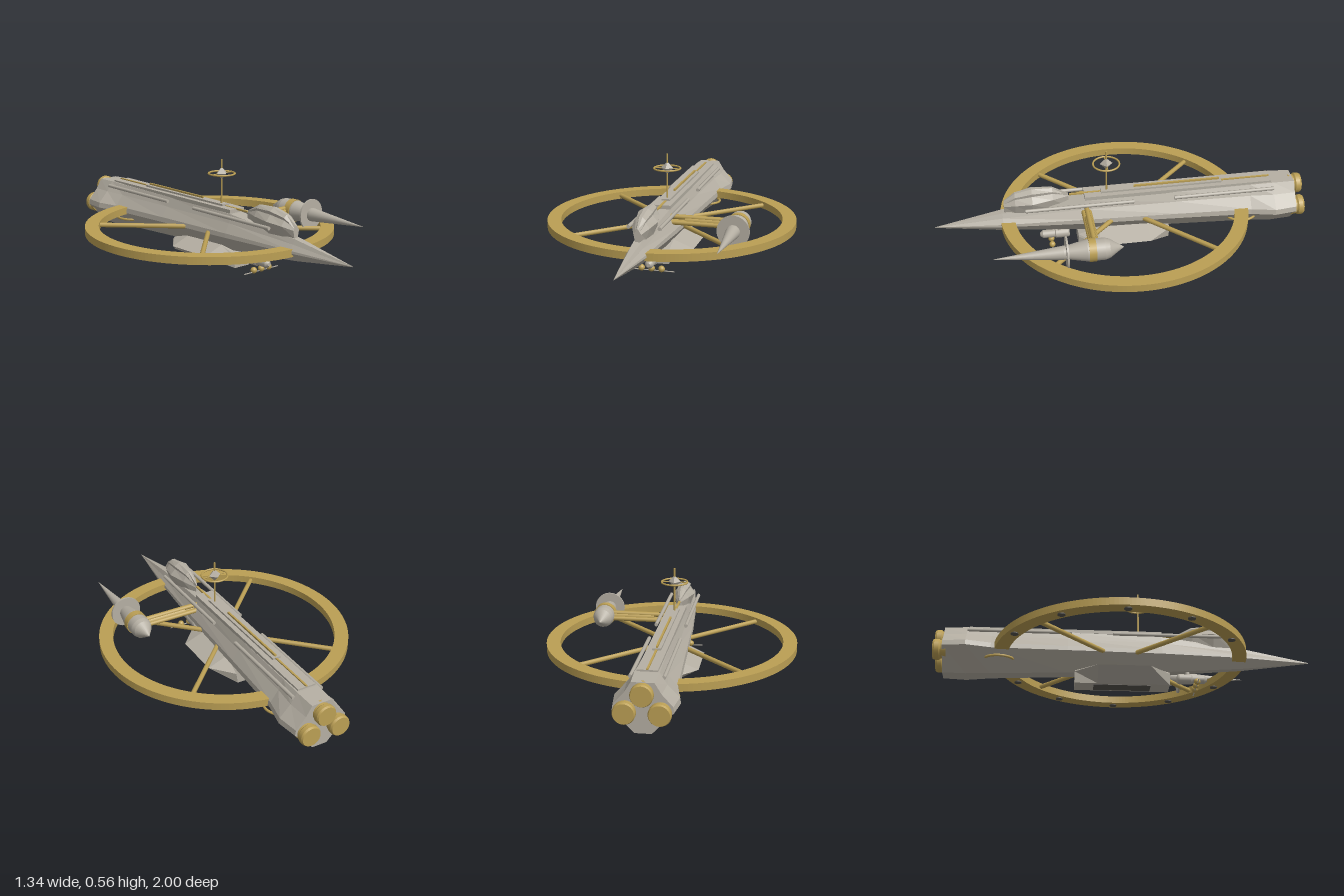
import * as THREE from 'three';

const mat = (name, color, flatShading = false, side = THREE.FrontSide) =>
  new THREE.MeshStandardMaterial({ name, color, flatShading, side });

// Skin closed cross-sections (counter-clockwise seen from +z), listed front to back
function loft(sections) {
  const n = sections[0].length, pos = [], idx = [];
  sections.forEach(s => s.forEach(p => pos.push(...p)));
  for (let i = 0; i < sections.length - 1; i++) {
    for (let j = 0; j < n; j++) {
      const a = i * n + j, b = i * n + (j + 1) % n, c = a + n, d = b + n;
      idx.push(a, c, b, b, c, d);
    }
  }
  [0, sections.length - 1].forEach(k => {
    const centre = pos.length / 3;
    const ys = sections[k].map(p => p[1]);
    pos.push(0, (Math.min(...ys) + Math.max(...ys)) / 2, sections[k][0][2]);
    for (let j = 0; j < n; j++) {
      const a = k * n + j, b = k * n + (j + 1) % n;
      idx.push(centre, ...(k ? [b, a] : [a, b]));
    }
  });
  const g = new THREE.BufferGeometry();
  g.setAttribute('position', new THREE.Float32BufferAttribute(pos, 3));
  g.setIndex(idx);
  const flat = g.toNonIndexed();
  flat.computeVertexNormals();
  return flat;
}

// Mirror a right-hand half outline (bottom to top) into a full cross-section
const mirrored = (half, z) => [
  ...half.map(([x, y]) => [x, y, z]),
  ...half.slice().reverse().map(([x, y]) => [-x, y, z]),
];

export function createModel() {
  const root = new THREE.Group();
  root.name = 'spaceship';
  const grey = mat('hullGrey', 0xb5afa3);
  const gold = mat('brassGold', 0xbb9f54);
  const dark = mat('darkPanel', 0x56534d);

  const add = (name, geo, m, x = 0, y = 0, z = 0) => {
    const mesh = new THREE.Mesh(geo, m);
    mesh.name = name;
    mesh.position.set(x, y, z);
    root.add(mesh);
    return mesh;
  };
  const box = (name, m, w, h, d, x, y, z) => add(name, new THREE.BoxGeometry(w, h, d), m, x, y, z);
  // Solid of revolution along z from [radius, z] points, rear to front
  const turned = (name, pts, m, x, y, sides = 24) => {
    const group = new THREE.Group();
    group.name = name;
    for (let i = 0; i < pts.length - 1; i++) {
      const [r0, z0] = pts[i], [r1, z1] = pts[i + 1];
      const len = Math.max(z1 - z0, 0.0005);
      const g = new THREE.CylinderGeometry(r1, r0, len, sides).rotateX(Math.PI / 2);
      const mesh = new THREE.Mesh(g, m);
      mesh.name = name + 'Section';
      mesh.position.set(x, y, (z0 + z1) / 2);
      group.add(mesh);
    }
    root.add(group);
  };
  // Straight rod between two points
  const rod = (name, a, b, r, m, sides = 10) => {
    const p = new THREE.Vector3(...a), q = new THREE.Vector3(...b);
    const mesh = add(name, new THREE.CylinderGeometry(r, r, p.distanceTo(q), sides), m);
    mesh.position.copy(p).lerp(q, 0.5);
    mesh.quaternion.setFromUnitVectors(new THREE.Vector3(0, 1, 0), q.sub(p).normalize());
  };

  // Main hull: z, half width, deck half width, deck y, widest y, keel y
  const hull = [
    [1.0, 0.001, 0.0005, 0.172, 0.17, 0.168],
    [0.64, 0.053, 0.02, 0.235, 0.168, 0.122],
    [0.2, 0.088, 0.042, 0.283, 0.165, 0.085],
    [-0.3, 0.11, 0.05, 0.292, 0.16, 0.066],
    [-0.7, 0.13, 0.055, 0.296, 0.155, 0.05],
    [-0.83, 0.16, 0.06, 0.3, 0.155, 0.041],
    [-0.95, 0.145, 0.055, 0.296, 0.155, 0.045],
  ].map(([z, w, t, yt, ym, yb]) => mirrored([
    [w * 0.28, yb], [w, ym], [w * 0.97, ym + (yt - ym) * 0.2],
    [t + (w - t) * 0.36, ym + (yt - ym) * 0.62], [t, yt],
  ], z));
  add('hull', loft(hull), grey);

  // Faceted bridge on the forward deck
  const bridge = [
    [0.63, 0.02, 0.008, 0.275, 0.3],
    [0.57, 0.045, 0.016, 0.29, 0.345],
    [0.48, 0.062, 0.02, 0.3, 0.365],
    [0.37, 0.04, 0.014, 0.305, 0.36],
    [0.285, 0.006, 0.003, 0.3, 0.315],
  ].map(([z, w, t, ym, yt]) => mirrored([
    [w * 0.6, 0.235], [w, ym], [w * 0.55, (ym + yt) / 2], [w * 0.6, yt - 0.015], [t * 0.5, yt],
  ], z));
  add('bridge', loft(bridge), grey);

  // Belly pod with a dark bay panel
  const pod = [[0.24, 0.06, 0.072], [0.13, 0.16, 0.105], [-0.14, 0.16, 0.105], [-0.26, 0.06, 0.072]]
    .map(([z, w, yt]) => mirrored([[0.05, 0.002], [w, 0.062], [0.05, yt]], z));
  add('bellyPod', loft(pod), grey);
  box('bellyBay', dark, 0.075, 0.004, 0.3, 0, 0.002, -0.01);

  // Dorsal spine: stepped deck plates and brass ridge
  box('deckPlate', grey, 0.1, 0.02, 1.02, 0, 0.298, -0.31);
  box('spinePlate', grey, 0.045, 0.014, 0.66, 0, 0.311, -0.22);
  box('spineRidge', gold, 0.01, 0.012, 0.47, 0, 0.322, -0.305);
  box('rearRidge', gold, 0.01, 0.008, 0.28, 0, 0.31, -0.68);
  box('frontRidge', gold, 0.012, 0.008, 0.26, 0, 0.306, 0.15);

  for (const s of [-1, 1]) {
    // Deck rails
    rod('frontRail', [s * 0.08, 0.276, 0.52], [s * 0.08, 0.276, -0.06], 0.01, grey, 8);
    rod('rearRail', [s * 0.08, 0.276, -0.28], [s * 0.08, 0.276, -0.83], 0.01, grey, 8);
    // Brass handle loop under the rear flank
    add('flankLoop', new THREE.TorusGeometry(0.09, 0.007, 8, 36).rotateX(Math.PI / 2), gold,
      s * 0.035, 0.115, -0.66);
  }

  // Three engine nozzles
  [[-0.083, 0.156], [0.083, 0.156], [0, 0.246]].forEach(([x, y]) =>
    turned('engine', [[0.05, -1.0], [0.055, -0.99], [0.055, -0.968], [0.048, -0.96], [0.052, -0.93]], gold, x, y));

  // Great ring, open where the stern passes through
  const cz = -0.02, gap = 0.17;
  const shape = new THREE.Shape();
  const start = Math.PI / 2 + gap, end = Math.PI / 2 - gap + Math.PI * 2;
  shape.absarc(0, 0, 0.672, start, end, false);
  shape.absarc(0, 0, 0.598, end, start, true);
  const ringGeo = new THREE.ExtrudeGeometry(shape, { depth: 0.04, bevelEnabled: false, curveSegments: 96 });
  add('ring', ringGeo.rotateX(-Math.PI / 2), gold, 0, 0.15, cz);

  // Studs beneath the ring
  for (let i = 0; i < 12; i++) {
    const a = i * Math.PI / 6;
    if (i === 9) continue;
    add('ringStud', new THREE.CylinderGeometry(0.02, 0.02, 0.006, 16), dark,
      0.635 * Math.cos(a), 0.148, cz + 0.635 * Math.sin(a));
  }

  // Diagonal spokes
  for (const sx of [-1, 1]) for (const sz of [-1, 1]) {
    rod('spoke', [sx * 0.06, 0.168, cz + sz * 0.06], [sx * 0.43, 0.168, cz + sz * 0.43], 0.013, gold, 8);
  }

  // Side nacelle on its brass strut
  const nx = 0.412, ny = 0.237;
  turned('nacelle', [[0.001, 0.05], [0.05, 0.125], [0.057, 0.15], [0.057, 0.24], [0.036, 0.34], [0.036, 0.36], [0.001, 0.71]], grey, nx, ny);
  turned('nacelleBand', [[0.061, 0.195], [0.061, 0.232]], gold, nx, ny);
  turned('nacelleDisc', [[0.084, 0.337], [0.084, 0.347]], grey, nx, ny, 40);
  [[0.018, 0], [-0.009, 0.015], [-0.009, -0.015]].forEach(([dy, dz]) =>
    rod('strut', [0.05, ny + dy - 0.004, 0.195 + dz], [0.38, ny + dy - 0.004, 0.195 + dz], 0.013, gold, 10));
  rod('strutCore', [0.13, ny - 0.004, 0.195], [0.37, ny - 0.004, 0.195], 0.021, gold, 8);

  // Mast with crystal and halo
  rod('mast', [0, 0.28, 0.078], [0, 0.555, 0.078], 0.005, gold, 8);
  add('mastCrystal', new THREE.OctahedronGeometry(0.034), grey, 0, 0.48, 0.078);
  add('mastHalo', new THREE.TorusGeometry(0.07, 0.005, 8, 40).rotateX(Math.PI / 2), gold, 0, 0.478, 0.078);
  rod('haloBar', [-0.07, 0.478, 0.078], [0.07, 0.478, 0.078], 0.003, gold, 6);

  // Chin sensor: barrel, cross rod and brass bulbs
  turned('sensorBarrel', [[0.022, 0.285], [0.027, 0.295], [0.027, 0.36], [0.022, 0.365], [0.022, 0.43], [0.01, 0.445]], grey, 0, 0.058, 20);
  rod('sensorMount', [0, 0.06, 0.34], [0, 0.11, 0.34], 0.012, grey);
  rod('sensorCrossRod', [-0.12, 0.014, 0.385], [0.12, 0.014, 0.385], 0.003, grey, 6);
  for (const x of [-0.053, 0, 0.053])
    add('sensorBulb', new THREE.SphereGeometry(0.017, 20, 14), gold, x, 0.024, 0.385);

  return root;
}
